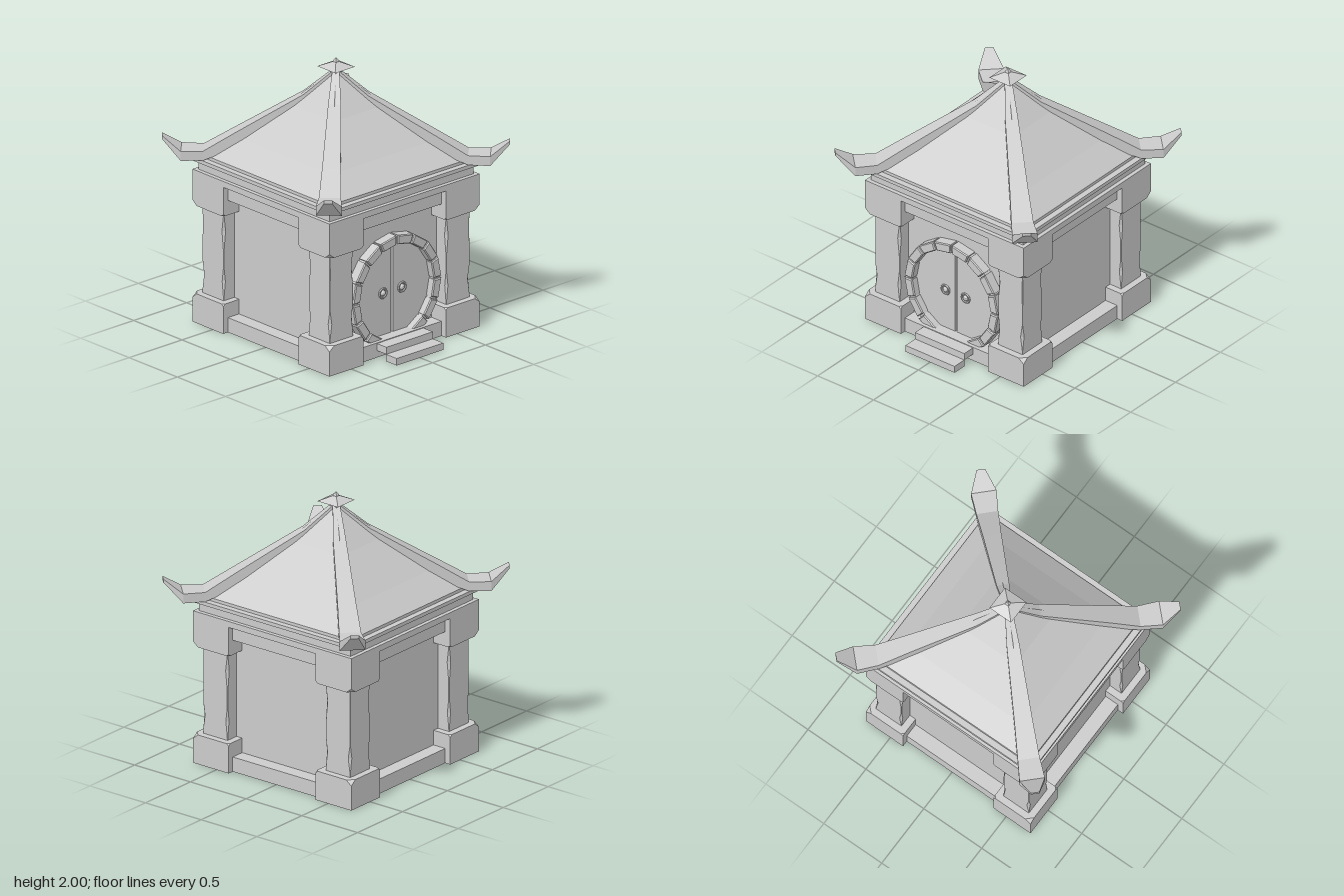
import * as THREE from 'three';
import { ConvexGeometry } from 'three/addons/geometries/ConvexGeometry.js';

const material = new THREE.MeshStandardMaterial({ color: 0xcccccc, flatShading: true });

function add(parent, name, geometry, x = 0, y = 0, z = 0) {
  const mesh = new THREE.Mesh(geometry, material);
  mesh.name = name;
  mesh.position.set(x, y, z);
  parent.add(mesh);
  return mesh;
}

// Box given by its lower and upper corners
function block(parent, name, [x0, y0, z0], [x1, y1, z1]) {
  return add(parent, name, new THREE.BoxGeometry(x1 - x0, y1 - y0, z1 - z0),
    (x0 + x1) / 2, (y0 + y1) / 2, (z0 + z1) / 2);
}

// Closed skin over sections that run counter-clockwise seen from the far end
function loft(sections) {
  const out = [];
  const n = sections[0].length;
  const tri = (...points) => points.forEach((p) => out.push(...p));
  for (let i = 0; i < sections.length - 1; i++) {
    const s = sections[i], t = sections[i + 1];
    for (let j = 0; j < n; j++) {
      const k = (j + 1) % n;
      tri(s[j], s[k], t[k]);
      tri(s[j], t[k], t[j]);
    }
  }
  const first = sections[0], last = sections[sections.length - 1];
  for (let j = 1; j < n - 1; j++) {
    tri(first[0], first[j + 1], first[j]);
    tri(last[0], last[j], last[j + 1]);
  }
  const geometry = new THREE.BufferGeometry();
  geometry.setAttribute('position', new THREE.Float32BufferAttribute(out, 3));
  geometry.computeVertexNormals();
  return geometry;
}

const square = (r, y) => [[r, y, r], [r, y, -r], [-r, y, -r], [-r, y, r]];

// Corner stone from lo to hi in x and z, with clipped corners on the side facing the shaft
function cornerStone(lo, hi, yPlain, yCut) {
  const points = [];
  const dy = Math.sign(yPlain - yCut);
  for (const x of [lo, hi]) for (const z of [lo, hi]) {
    const c = x === hi && z === hi ? 0.045 : 0.02;
    const sx = x === hi ? -c : c, sz = z === hi ? -c : c;
    points.push(new THREE.Vector3(x, yPlain, z), new THREE.Vector3(x + sx, yCut, z),
      new THREE.Vector3(x, yCut, z + sz), new THREE.Vector3(x, yCut + dy * c * 0.8, z));
  }
  return new ConvexGeometry(points);
}

// Square shaft whose edges are chipped by a different amount at each height
function pillarShaft() {
  const lo = 0.44, hi = 0.66;
  const levels = [ // height, outer chip, side chip
    [0.2, 0.002, 0.002], [0.25, 0.002, 0.004], [0.36, 0.018, 0.016], [0.46, 0.002, 0.004],
    [0.6, 0.002, 0.004], [0.74, 0.004, 0.018], [0.86, 0.002, 0.003], [0.9, 0.002, 0.002],
  ];
  return loft(levels.map(([y, a, b]) => [
    [hi - a, y, hi], [hi, y, hi - a], [hi, y, lo + b], [hi - b, y, lo],
    [lo + b, y, lo], [lo, y, lo + b], [lo, y, hi - b], [lo + b, y, hi],
  ]));
}

// Hip ridge that sweeps down the diagonal and turns up into a horn
function hipRidge() {
  const stations = [ // diagonal offset, width, top, bottom
    [0.01, 0.05, 1.915, 1.84], [0.16, 0.09, 1.735, 1.64], [0.5, 0.13, 1.445, 1.33],
    [0.655, 0.155, 1.31, 1.24], [0.765, 0.18, 1.31, 1.24], [0.86, 0.06, 1.405, 1.38],
  ];
  return loft(stations.map(([a, w, top, bottom]) => {
    const r = a * Math.SQRT2, h = w / 2;
    return [[h, bottom, r], [h, top, r], [-h, top, r], [-h, bottom, r]];
  }));
}

function polygonPath(path, radius) {
  for (let i = 0; i < 16; i++) {
    const a = (i / 16) * Math.PI * 2;
    path[i ? 'lineTo' : 'moveTo'](radius * Math.cos(a), radius * Math.sin(a));
  }
  path.closePath();
  return path;
}

function buildDoor() {
  const door = new THREE.Group();
  door.name = 'roundDoor';
  door.position.set(0, 0.43, 0.55);

  // Two leaves with a dark seam between them
  for (const side of [-1, 1]) {
    const leaf = new THREE.Shape();
    leaf.moveTo(side * 0.008, -0.355);
    for (let i = 0; i <= 8; i++) {
      const a = -Math.PI / 2 + (i / 8) * Math.PI;
      leaf.lineTo(side * Math.max(0.008, 0.36 * Math.cos(a)), 0.36 * Math.sin(a));
    }
    leaf.closePath();
    add(door, 'doorLeaf', new THREE.ExtrudeGeometry(leaf, { depth: 0.03, bevelEnabled: false }));
    add(door, 'handleRing', new THREE.TorusGeometry(0.034, 0.008, 6, 20), side * 0.09, -0.005, 0.036);
    add(door, 'handleKnob', new THREE.SphereGeometry(0.022, 12, 8), side * 0.09, -0.005, 0.03);
  }

  // Recessed frame with sixteen stones standing proud of it
  const ring = polygonPath(new THREE.Shape(), 0.408);
  ring.holes.push(polygonPath(new THREE.Path(), 0.357));
  add(door, 'frameRing', new THREE.ExtrudeGeometry(ring, { depth: 0.07, bevelEnabled: false }));
  const inner = 0.358, outer = 0.414, half = Math.PI / 16;
  const stone = new THREE.Shape();
  for (const [r, a] of [[inner, -half], [outer, -half], [outer, half], [inner, half]]) {
    const x = r * Math.cos(a), y = r * Math.sin(a) - Math.sign(a) * 0.014;
    stone.currentPoint.lengthSq() ? stone.lineTo(x, y) : stone.moveTo(x, y);
  }
  stone.closePath();
  const stoneGeometry = new THREE.ExtrudeGeometry(stone, {
    depth: 0.08, bevelThickness: 0.008, bevelSize: 0.007, bevelSegments: 1,
  });
  for (let i = 0; i < 16; i++) {
    add(door, 'frameStone', stoneGeometry).rotation.z = (i + 0.5) * Math.PI / 8;
  }
  return door;
}

export function createModel() {
  const model = new THREE.Group();
  model.name = 'shrine';

  block(model, 'walls', [-0.56, 0, -0.56], [0.56, 1.12, 0.56]);

  // One corner and one side, repeated around the building
  const shaft = pillarShaft(), ridge = hipRidge();
  const plinth = cornerStone(0.39, 0.71, 0, 0.22);
  const capital = cornerStone(0.39, 0.71, 1.12, 0.88);
  for (let i = 0; i < 4; i++) {
    const quarter = new THREE.Group();
    quarter.name = 'quarter';
    quarter.rotation.y = i * Math.PI / 2;
    add(quarter, 'plinth', plinth);
    add(quarter, 'pillar', shaft);
    add(quarter, 'capital', capital);
    block(quarter, 'baseBeam', [-0.42, 0, 0.5], [0.42, 0.11, 0.665]);
    block(quarter, 'lintel', [-0.42, 0.99, 0.5], [0.42, 1.12, 0.665]);
    add(quarter, 'hipRidge', ridge).rotation.y = Math.PI / 4;
    model.add(quarter);
  }

  // Cornice and eaves
  block(model, 'cornice', [-0.71, 1.1, -0.71], [0.71, 1.145, 0.71]);
  block(model, 'frieze', [-0.68, 1.145, -0.68], [0.68, 1.21, 0.68]);
  block(model, 'eaves', [-0.71, 1.21, -0.71], [0.71, 1.237, 0.71]);

  // Sagging pyramid roof
  add(model, 'roof', loft([square(0.665, 1.23), square(0.665, 1.26), square(0.5, 1.4),
    square(0.24, 1.65), square(0.015, 1.905)]));

  // Finial
  add(model, 'finialNeck', loft([square(0.03, 1.88), square(0.03, 1.935)]));
  add(model, 'finialCap', loft([square(0.093, 1.933), square(0.016, 1.97)]));
  add(model, 'finialTip', loft([square(0.016, 1.965), square(0.016, 1.975), square(0.002, 2)]));

  model.add(buildDoor());

  // Entrance steps
  block(model, 'upperStep', [-0.22, 0.052, 0.6], [0.22, 0.105, 0.762]);
  block(model, 'lowerStep', [-0.22, 0, 0.76], [0.22, 0.052, 0.87]);
  return model;
}
